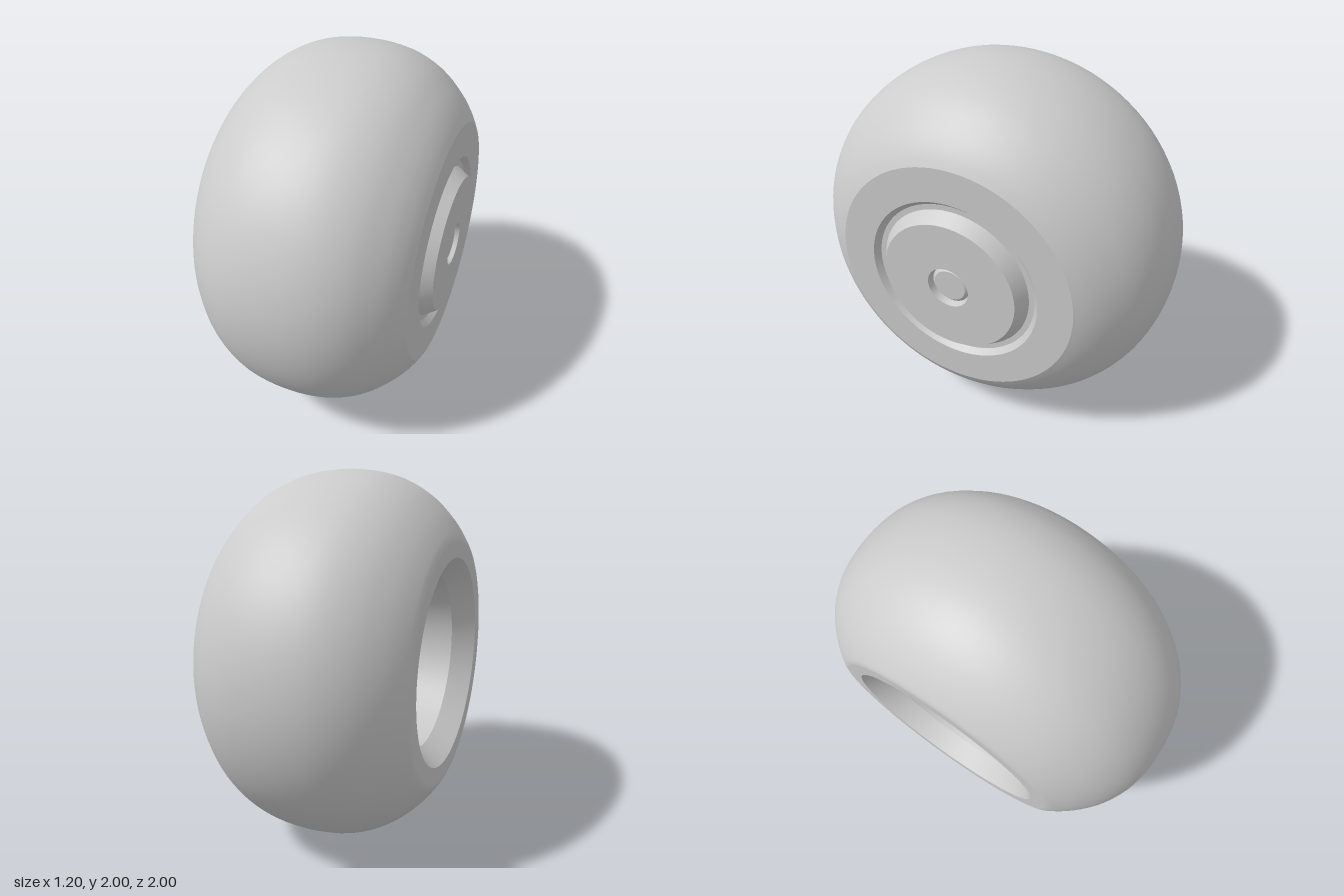
import * as THREE from 'three';
import { mergeGeometries } from 'three/addons/utils/BufferGeometryUtils.js';

const SEGMENTS = 96;
const AXLE_HEIGHT = 1;
const material = new THREE.MeshStandardMaterial({ color: 0xcccccc });

// Profiles are [x along the axle, radius], running from the inboard side outward
function revolve(profile) {
  const points = profile.map(([x, r]) => new THREE.Vector2(r, x));
  return new THREE.LatheGeometry(points, SEGMENTS).rotateZ(-Math.PI / 2);
}

// One lathe per profile segment keeps every edge sharp
function revolveSharp(profile) {
  const bands = [];
  for (let i = 1; i < profile.length; i++) bands.push(revolve([profile[i - 1], profile[i]]));
  return mergeGeometries(bands);
}

export function createModel() {
  const wheel = new THREE.Group();
  wheel.name = 'wheel';
  const add = (name, geometry) => {
    const mesh = new THREE.Mesh(geometry, material);
    mesh.name = name;
    mesh.position.y = AXLE_HEIGHT;
    wheel.add(mesh);
  };

  // Rounded balloon tread, smooth from sidewall to sidewall
  const tread = new THREE.SplineCurve([
    [-0.6, 0.65], [-0.585, 0.69], [-0.51, 0.793], [-0.39, 0.9], [-0.23, 0.975],
    [-0.03, 1], [0.17, 0.978], [0.33, 0.91], [0.45, 0.81], [0.52, 0.725], [0.56, 0.655],
  ].map(([x, r]) => new THREE.Vector2(x, r)));
  add('tireTread', revolve(tread.getPoints(40).map((p) => [p.x, p.y])));

  // Flat sidewalls
  add('innerSidewall', revolveSharp([[-0.6, 0.56], [-0.6, 0.65]]));
  add('outerSidewall', revolveSharp([[0.56, 0.655], [0.56, 0.472]]));

  // Open back of the rim: floor, tapered barrel and flared lip
  add('rimBarrel', revolveSharp([[-0.22, 0], [-0.22, 0.45], [-0.48, 0.475], [-0.6, 0.56]]));

  // Groove around the hub cap, then its bevelled edge and flat face
  add('rimGroove', revolveSharp([[0.56, 0.472], [0.53, 0.445], [0.53, 0.415]]));
  add('hubCap', revolveSharp([[0.53, 0.415], [0.6, 0.37], [0.6, 0.115]]));

  // Small recessed axle cap
  add('axleCap', revolveSharp([[0.6, 0.115], [0.565, 0.105], [0.58, 0.087], [0.58, 0]]));

  return wheel;
}
